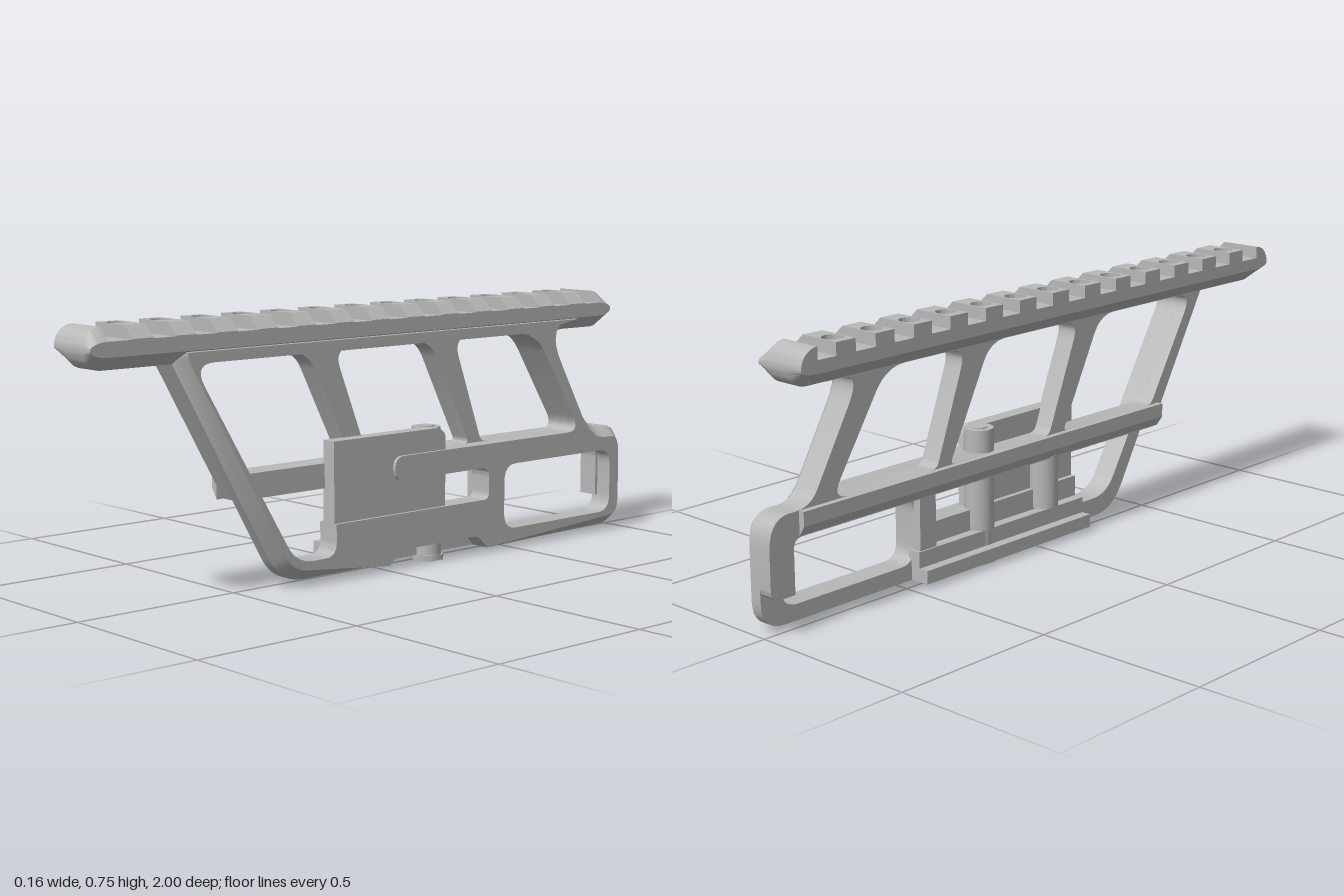
import * as THREE from 'three';
import { toCreasedNormals } from 'three/addons/utils/BufferGeometryUtils.js';

const metal = new THREE.MeshStandardMaterial({ color: 0xb8b8b8 });
metal.name = 'greyMetal';

// Polygon of [z, y, cornerRadius] turned into points with rounded corners
function rounded(list) {
  const out = [];
  const n = list.length;
  list.forEach(([z, y, r = 0], i) => {
    const p = new THREE.Vector2(-z, y);
    if (!r) return out.push(p);
    const ends = [list[(i + n - 1) % n], list[(i + 1) % n]].map(([a, b]) => {
      const d = new THREE.Vector2(-a, b).sub(p);
      return p.clone().addScaledVector(d.clone().normalize(), Math.min(r, d.length() * 0.49));
    });
    out.push(...new THREE.QuadraticBezierCurve(ends[0], p, ends[1]).getPoints(7));
  });
  return out;
}

// Side-profile plate between two x positions; the outer edge at x1 can be chamfered
function plate(outline, holes, x0, x1, inset = 0, keepStraight = () => false) {
  const pts = rounded(outline);
  const shape = new THREE.Shape(pts);
  shape.holes = holes.map((h) => new THREE.Path(rounded(h)));
  const geo = new THREE.ExtrudeGeometry(shape, { depth: x1 - x0, bevelEnabled: false });
  if (inset) {
    const sign = THREE.ShapeUtils.area(pts) > 0 ? 1 : -1;
    const key = (x, y) => x.toFixed(4) + ',' + y.toFixed(4);
    const moved = new Map();
    pts.forEach((p, i) => {
      const a = p.clone().sub(pts[(i + pts.length - 1) % pts.length]).normalize();
      const b = pts[(i + 1) % pts.length].clone().sub(p).normalize();
      const m = new THREE.Vector2(-a.y - b.y, a.x + b.x).multiplyScalar(sign).normalize();
      const cos = Math.max(0.5, m.dot(new THREE.Vector2(-a.y, a.x).multiplyScalar(sign)));
      if (!keepStraight(p)) moved.set(key(p.x, p.y), p.clone().addScaledVector(m, inset / cos));
    });
    const pos = geo.attributes.position;
    for (let i = 0; i < pos.count; i++) {
      const q = pos.getZ(i) > 0.001 && moved.get(key(pos.getX(i), pos.getY(i)));
      if (q) pos.setXY(i, q.x, q.y);
    }
  }
  geo.rotateY(Math.PI / 2).translate(x0, 0, 0);
  return toCreasedNormals(geo, 0.5);
}

// Cross-section of [x, y] points swept from z0 to z1
function bar(section, z0, z1, steps = 1) {
  const s = new THREE.Shape(section.map(([x, y]) => new THREE.Vector2(x, y)));
  return new THREE.ExtrudeGeometry(s, { depth: z1 - z0, steps, bevelEnabled: false }).translate(0, 0, z0);
}

function box(x0, x1, y0, y1, z0, z1) {
  return new THREE.BoxGeometry(x1 - x0, y1 - y0, z1 - z0)
    .translate((x0 + x1) / 2, (y0 + y1) / 2, (z0 + z1) / 2);
}

function cyl(r, y0, y1, x, z, sides = 32) {
  return new THREE.CylinderGeometry(r, r, y1 - y0, sides).translate(x, (y0 + y1) / 2, z);
}

export function createModel() {
  const group = new THREE.Group();
  const add = (name, geo) => {
    const m = new THREE.Mesh(geo, metal);
    m.name = name;
    group.add(m);
  };

  // Outer frame: arms, bottom bar, rear loop and long lever
  const frame = [[0.73, 0.7], [0.73, 0.645], [0.372, 0.015, 0.08],
    [0, 0.015], [-0.04, 0.055, 0.02], [-0.35, 0.055, 0.02], [-0.39, 0.015],
    [-1, 0.015, 0.08], [-1, 0.325, 0.09], [-0.86, 0.325, 0.05],
    [-0.68, 0.64, 0.09], [-0.8, 0.64], [-0.8, 0.7]];
  const mainOpening = [[0.685, 0.64, 0.07], [-0.59, 0.64, 0.07], [-0.79, 0.325, 0.06],
    [-0.02, 0.325, 0.034], [-0.02, 0.255, 0.034], [-0.395, 0.255, 0.03], [-0.395, 0.16, 0.02],
    [0.2, 0.16], [0.2, 0.07, 0.04], [0.344, 0.07, 0.06]];
  const rearOpening = [[-0.46, 0.255, 0.05], [-0.93, 0.255, 0.05], [-0.93, 0.06, 0.05], [-0.46, 0.06, 0.05]];
  const holes = [mainOpening, rearOpening];
  add('frameBody', plate(frame, holes, 0.01, 0.045));
  add('frameChamfer', plate(frame, holes, 0.045, 0.08, 0.03,
    (p) => p.y < 0.06 && p.x > -0.01 && p.x < 0.4));

  // Inner layer: slanted struts, crossbar and thick rear upright
  const inner = [[0.73, 0.7], [0.73, 0.645], [0.507, 0.255], [-0.92, 0.255, 0.03], [-0.92, 0.105],
    [-1, 0.105, 0.03], [-1, 0.325, 0.09], [-0.86, 0.325, 0.05], [-0.68, 0.64, 0.09],
    [-0.8, 0.64], [-0.8, 0.7]];
  const windows = [
    [[0.685, 0.64, 0.07], [0.26, 0.64, 0.06], [0.1, 0.325, 0.02], [0.497, 0.325, 0.02]],
    [[0.165, 0.64, 0.06], [-0.2, 0.64, 0.06], [-0.36, 0.325, 0.02], [0.04, 0.325, 0.02]],
    [[-0.295, 0.64, 0.06], [-0.59, 0.64, 0.07], [-0.79, 0.325, 0.06], [-0.41, 0.325, 0.02]],
  ];
  add('strutsAndCrossbar', plate(inner, windows, -0.032, 0.03));
  add('crossbarLip', bar([[-0.05, 0.285], [-0.03, 0.255], [-0.03, 0.325], [-0.05, 0.325]], -0.9, 0.53));

  // Centre plate with its clamp screw boss
  add('centrePlate', plate([[0.2, 0.1], [0.2, 0.39], [-0.2, 0.39], [-0.225, 0.37, 0.01], [-0.225, 0.1]], [], 0.025, 0.07));
  add('screwBoss', cyl(0.042, 0.1, 0.39, 0.015, -0.2));
  add('screwTip', cyl(0.024, 0.39, 0.393, 0.015, -0.2));
  add('screwShaft', cyl(0.042, 0.01, 0.1, 0.02, -0.2));
  add('screwHead', cyl(0.05, 0, 0.016, 0.02, -0.2, 6));
  add('guidePost', cyl(0.042, 0.105, 0.26, 0.007, 0.06));
  add('clampPost', box(-0.015, 0.03, 0.1, 0.256, -0.46, -0.4));

  // Clamp base on the inner side
  add('clampBase', box(-0.05, 0.02, 0.016, 0.054, -0.47, 0.2));
  add('clampStep', box(-0.02, 0.02, 0.054, 0.1, -0.47, 0.2));

  // Top rail
  const base = [[-0.08, 0.715], [-0.08, 0.68], [-0.03, 0.64], [0.045, 0.64], [0.08, 0.675], [0.08, 0.715]];
  add('railBase', bar(base, -0.868, 0.948));

  // Rounded rail ends: the section shrinks in height along a quarter circle
  const full = [[-0.08, 0.75], ...base.slice(1), [0.045, 0.75]];
  for (const [name, edge, dir] of [['railFrontEnd', 0.945, 1], ['railRearEnd', -0.865, -1]]) {
    const r = 0.055;
    const geo = bar(full, Math.min(edge, edge + dir * r), Math.max(edge, edge + dir * r), 10);
    const pos = geo.attributes.position;
    for (let i = 0; i < pos.count; i++) {
      const t = Math.min(1, Math.abs(pos.getZ(i) - edge) / r);
      // even angles along the round
      const a = t * Math.PI / 2;
      pos.setZ(i, edge + dir * r * Math.sin(a));
      pos.setY(i, 0.695 + (pos.getY(i) - 0.695) * Math.cos(a));
    }
    add(name, toCreasedNormals(geo, 0.5));
  }

  // Rail teeth, each with a round hole and a chamfered side
  for (let i = 0; i < 13; i++) {
    const z = 0.84 - i * 0.1342;
    const h = 0.033;
    const s = new THREE.Shape([[-0.08, -h], [0.045, -h], [0.045, h], [-0.08, h]]
      .map(([a, b]) => new THREE.Vector2(a, b)));
    s.holes.push(new THREE.Path().absarc(-0.03, 0, 0.029, 0, Math.PI * 2, true));
    const tooth = new THREE.ExtrudeGeometry(s, { depth: 0.037, bevelEnabled: false, curveSegments: 24 });
    tooth.rotateX(-Math.PI / 2).translate(0, 0.713, z);
    add('railTooth', toCreasedNormals(tooth, 0.5));
    add('toothChamfer', bar([[0.045, 0.713], [0.08, 0.713], [0.08, 0.717], [0.045, 0.75]], z - h, z + h));
  }
  return group;
}
